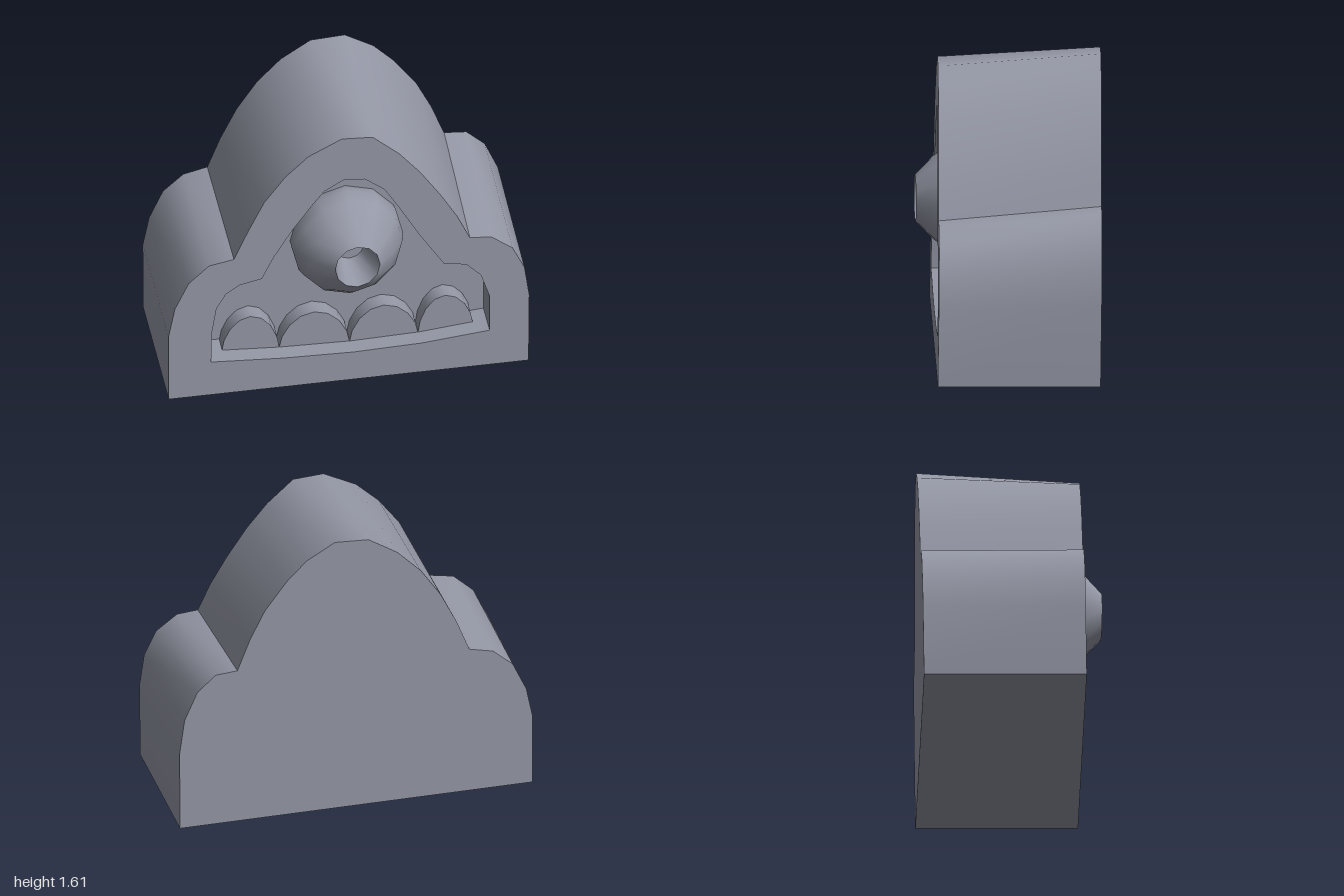
import * as THREE from 'three';
import { toCreasedNormals } from 'three/addons/utils/BufferGeometryUtils.js';

const material = new THREE.MeshStandardMaterial({ color: 0x9497a5, side: THREE.DoubleSide });

// Every cross-section lies on a slightly tilted plane, at a depth behind the front
const slant = (depth) => ([x, y]) => [x, y, 0.4 - depth + 0.03 * x - 0.013 * y];

// Flat face filling an outline, facing +z (dir 1) or -z (dir -1)
function cap(out, outline, depth, dir, holes = []) {
  const v = (l) => l.map(([x, y]) => new THREE.Vector2(x, y));
  const all = [outline, ...holes].flat();
  for (const f of THREE.ShapeUtils.triangulateShape(v(outline), holes.map(v))) {
    const [a, b, c] = f.map((i) => all[i]);
    const area = (b[0] - a[0]) * (c[1] - a[1]) - (b[1] - a[1]) * (c[0] - a[0]);
    const tri = area * dir > 0 ? [a, b, c] : [a, c, b];
    tri.forEach((p) => out.push(...slant(depth)(p)));
  }
}

// Wall between a front and a back outline (clockwise seen from the front)
function wall(out, front, back, df, db, inward = false) {
  const F = front.map(slant(df)), B = back.map(slant(db));
  F.forEach((f0, i) => {
    const j = (i + 1) % F.length;
    const quad = inward
      ? [f0, B[i], F[j], F[j], B[i], B[j]]
      : [f0, F[j], B[i], F[j], B[j], B[i]];
    quad.forEach((p) => out.push(...p));
  });
}

function makeMesh(name, positions) {
  const g = new THREE.BufferGeometry();
  g.setAttribute('position', new THREE.Float32BufferAttribute(positions, 3));
  const mesh = new THREE.Mesh(toCreasedNormals(g, 0.8), material);
  mesh.name = name;
  return mesh;
}

const DEPTH = 0.865, RECESS = 0.2;

const frontOutline = [
  [-1, 0], [-1, 0.4], [-0.965, 0.575], [-0.89, 0.73], [-0.78, 0.83], [-0.645, 0.855],
  [-0.57, 1.02], [-0.48, 1.2], [-0.365, 1.35], [-0.24, 1.465], [-0.06, 1.555],
  [0.107, 1.545], [0.25, 1.42], [0.36, 1.29], [0.47, 1.13], [0.56, 0.98], [0.63, 0.83],
  [0.745, 0.82], [0.86, 0.735], [0.925, 0.6], [0.95, 0.42], [0.945, 0],
];
const backOutline = [
  [-0.95, 0], [-0.95, 0.4], [-0.915, 0.57], [-0.84, 0.73], [-0.73, 0.825], [-0.6, 0.855],
  [-0.53, 1.03], [-0.44, 1.21], [-0.33, 1.37], [-0.2, 1.5], [-0.04, 1.6],
  [0.145, 1.61], [0.3, 1.52], [0.41, 1.41], [0.53, 1.25], [0.61, 1.09], [0.68, 0.91],
  [0.8, 0.9], [0.9, 0.81], [0.97, 0.65], [0.997, 0.45], [0.993, 0],
];
const recessOutline = [
  [-0.77, 0.21], [-0.765, 0.4], [-0.74, 0.55], [-0.69, 0.635], [-0.615, 0.685], [-0.495, 0.71],
  [-0.43, 0.84], [-0.33, 1.0], [-0.22, 1.15], [-0.155, 1.23], [-0.05, 1.29],
  [0.065, 1.28], [0.17, 1.2], [0.25, 1.07], [0.36, 0.88], [0.49, 0.68],
  [0.61, 0.66], [0.69, 0.58], [0.735, 0.44], [0.735, 0.22],
  [0.37, 0.185], [0, 0.175], [-0.38, 0.185],
];

// Thick body with a sunken panel in the front
function body() {
  const out = [];
  const panel = recessOutline.map(([x, y]) => [x + 0.01, y + 0.005]);
  cap(out, frontOutline, 0, 1, [recessOutline]);
  cap(out, backOutline, DEPTH, -1);
  wall(out, frontOutline, backOutline, 0, DEPTH);
  wall(out, recessOutline, panel, 0, RECESS, true);
  cap(out, panel, RECESS, 1);
  return makeMesh('body', out);
}

// Rounded tab standing on the recess ledge between two base points
function tab([x0, y0], [x1, y1], top) {
  const pts = [], n = 8;
  for (let i = 0; i <= n; i++) {
    const a = (Math.PI * i) / n, t = (1 - Math.cos(a)) / 2;
    const base = y0 + (y1 - y0) * t;
    pts.push([x0 + (x1 - x0) * t, base + (top - base) * Math.sin(a) ** 1.2]);
  }
  const out = [];
  cap(out, pts, 0.1, 1);
  wall(out, pts, pts.map(([x, y]) => [x + 0.007, y]), 0.1, RECESS);
  return makeMesh('tab', out);
}

// Twelve-sided bulging nozzle with a tapered bore
function nozzle() {
  const profile = [
    [0.285, 0.14], [0.3, 0.19], [0.304, 0.24], [0.285, 0.31], [0.22, 0.4],
    [0.122, 0.5], [0.075, 0.3], [0, 0.3],
  ].map(([r, z]) => new THREE.Vector2(r, z));
  const g = new THREE.LatheGeometry(profile, 12);
  g.rotateX(Math.PI / 2);
  g.scale(1, 1.05, 1);
  const mesh = new THREE.Mesh(toCreasedNormals(g, 0.8), material);
  mesh.position.set(0, 0.797, 0);
  mesh.name = 'nozzle';
  return mesh;
}

export function createModel() {
  const model = new THREE.Group();
  model.name = 'model';
  model.add(body(), nozzle());

  // Row of four tabs along the bottom of the recess
  const bases = [[-0.69, 0.205], [-0.38, 0.185], [0, 0.175], [0.37, 0.185], [0.665, 0.215]];
  const tops = [0.405, 0.39, 0.385, 0.405];
  const tabs = new THREE.Group();
  tabs.name = 'tabs';
  tops.forEach((top, i) => tabs.add(tab(bases[i], bases[i + 1], top)));
  model.add(tabs);
  return model;
}
